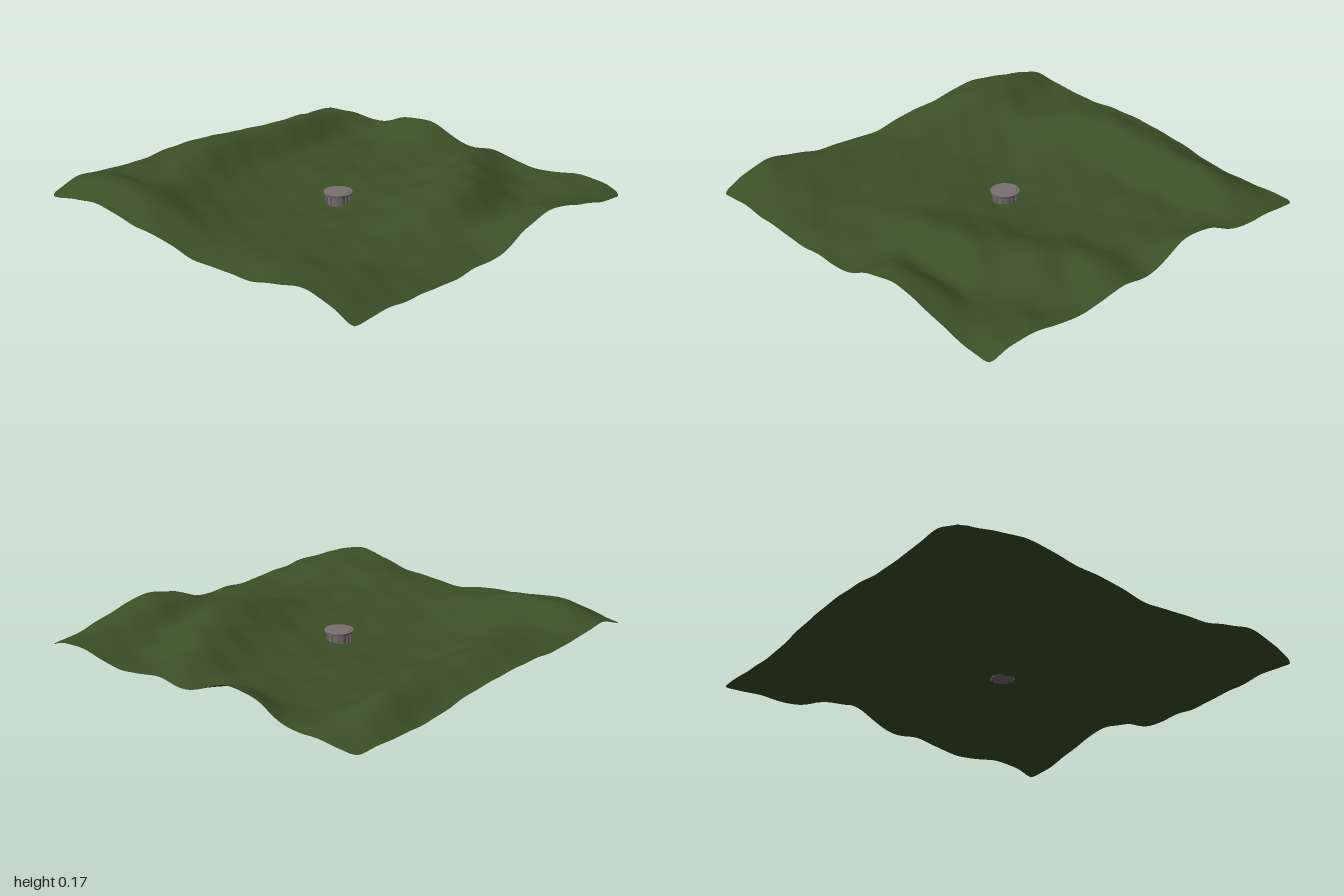
import * as THREE from 'three';

// ground heights in hundredths, rows run back to front, columns -x to +x
const ROW_Z = [-1, -0.78, -0.58, -0.4, -0.2, 0, 0.2, 0.36, 0.54, 0.72, 0.87, 1];
const H = [
  [7, 13, 11, 10, 11, 11, 9, 6, 4, 5, 4],
  [11, 17, 11, 12, 15, 15.5, 15, 15, 14, 9, 6],
  [12, 17, 12, 9, 7, 5, 5, 5, 4, 4, 6],
  [9, 14, 8, 4, 3, 3, 4, 4, 4, 5, 12],
  [8, 8, 5, 2, 1, 1.5, 3, 3, 4, 7, 14],
  [4, 6, 4, 3, 2, 1.5, 3, 4, 5, 6, 6],
  [4, 6, 5, 4, 4, 4, 6, 7, 10, 12, 7],
  [5, 7, 5, 4, 5, 7, 10, 13, 13, 6, 4],
  [8, 8, 5, 4, 6, 11, 15, 14, 7, 3, 4],
  [11, 9, 6, 3, 4, 6, 7, 5, 4, 5, 7],
  [7, 7, 5, 3, 3, 4, 10, 12, 8, 6, 6],
  [2, 3, 2, 1, 2, 2, 9, 13, 9, 4, 2],
];

// Catmull-Rom through n + 1 samples, t in 0..n
function spline(at, t, n) {
  const i = Math.min(n - 1, Math.floor(t)), f = t - i;
  const get = (k) => at(THREE.MathUtils.clamp(k, 0, n));
  const a = get(i - 1), b = get(i), c = get(i + 1), d = get(i + 2);
  return b + 0.5 * f * (c - a + f * (2 * a - 5 * b + 4 * c - d + f * (3 * (b - c) + d - a)));
}

// fractional row number at depth z
function rowAt(z) {
  let i = 0;
  while (i < ROW_Z.length - 2 && z > ROW_Z[i + 1]) i++;
  return i + (z - ROW_Z[i]) / (ROW_Z[i + 1] - ROW_Z[i]);
}

function groundHeight(x, z) {
  const u = (x + 1) * 5, v = rowAt(z);
  const base = spline((r) => spline((c) => H[r][c], u, 10), v, ROW_Z.length - 1) / 100;
  // small surface bumps
  const bumps = 0.004 * Math.sin(13 * x + 5 * z) * Math.sin(15 * z - 4 * x + 1)
    + 0.003 * Math.sin(27 * x - 9 * z) * Math.cos(24 * z + 7 * x);
  return Math.max(0, base + bumps);
}

const bell = (t, centre, width) => Math.exp(-(((t - centre) / width) ** 2));

function createGround() {
  const half = 0.988, R = 0.04, inner = half - R;
  const geo = new THREE.PlaneGeometry(2 * half, 2 * half, 110, 110).rotateX(-Math.PI / 2);
  const p = geo.attributes.position;
  for (let i = 0; i < p.count; i++) {
    let x = p.getX(i), z = p.getZ(i);
    const y = groundHeight(x, z);
    // rounded corners
    const dx = Math.abs(x) - inner, dz = Math.abs(z) - inner;
    if (dx > 0 && dz > 0) {
      const k = Math.max(dx, dz) / Math.hypot(dx, dz);
      x = Math.sign(x) * (inner + dx * k);
      z = Math.sign(z) * (inner + dz * k);
    }
    // slightly wavy edges
    const ex = Math.abs(x) ** 6, ez = Math.abs(z) ** 6;
    x += x > 0 ? ex * (0.01 - 0.024 * bell(z, -0.35, 0.25)) : -0.012 * ex * bell(z, 0.45, 0.3);
    if (z < 0) z -= 0.012 * ez * bell(x, -0.1, 0.35);
    p.setXYZ(i, x, y, z);
  }
  geo.computeVertexNormals();
  const ground = new THREE.Mesh(geo, new THREE.MeshStandardMaterial({
    color: 0x3c5027, side: THREE.DoubleSide,
  }));
  ground.name = 'ground';
  return ground;
}

function createPedestal() {
  const pedestal = new THREE.Group();
  pedestal.name = 'pedestal';
  const stone = new THREE.MeshStandardMaterial({ color: 0x7a7070 });
  const add = (name, geo, x, y, z) => {
    const m = new THREE.Mesh(geo, stone);
    m.name = name;
    m.position.set(x, y, z);
    pedestal.add(m);
    return m;
  };
  add('pedestalBody', new THREE.CylinderGeometry(0.055, 0.055, 0.058, 24), 0, 0.039, 0);
  add('pedestalCap', new THREE.CylinderGeometry(0.072, 0.07, 0.01, 24), 0, 0.067, 0);
  add('pedestalTop', new THREE.CylinderGeometry(0.057, 0.06, 0.003, 24), 0, 0.073, 0);
  // upright ribs around the body
  for (let i = 0; i < 12; i++) {
    const a = (i / 12) * Math.PI * 2;
    const rib = add('pedestalRib', new THREE.BoxGeometry(0.01, 0.054, 0.008),
      Math.sin(a) * 0.057, 0.038, Math.cos(a) * 0.057);
    rib.rotation.y = a;
  }
  return pedestal;
}

export function createModel() {
  const model = new THREE.Group();
  model.name = 'terrain';
  model.add(createGround(), createPedestal());
  return model;
}
